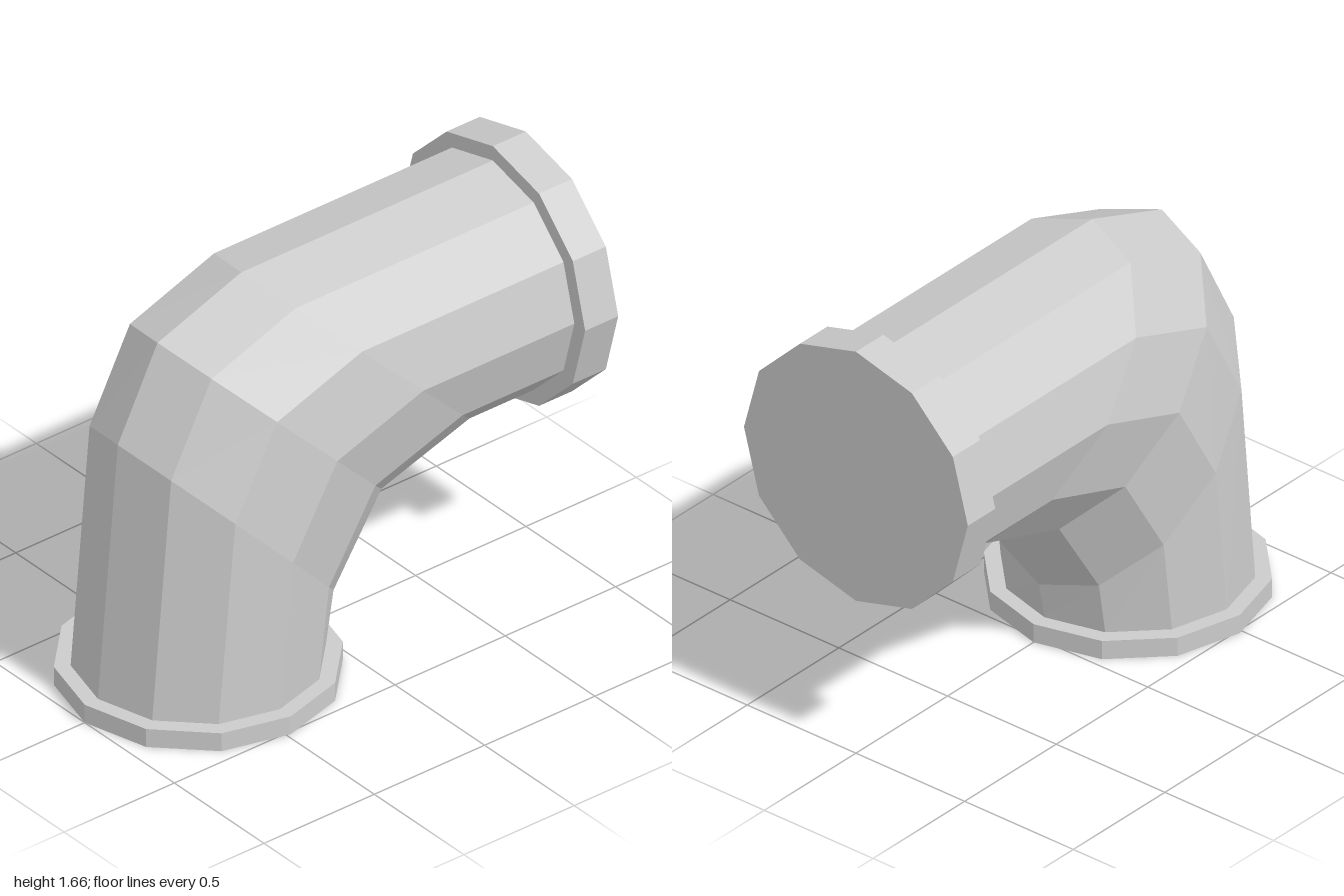
import * as THREE from 'three';

const SIDES = 12;
const PIPE_RADIUS = 0.455;
const FLANGE_RADIUS = 0.515;

// Cross-sections of the bend: [outer z, outer y, inner z, inner y]
const SECTIONS = [
  [0.94, 0.075, 0.03, 0.075],
  [0.85, 1.105, 0.0, 0.225],
  [0.67, 1.46, -0.22, 0.56],
  [0.29, 1.6, -0.62, 0.69],
  [-0.85, 1.6, -0.85, 0.69],
];

// Point i on a section ring, starting at the outside of the bend
function ringPoint([oz, oy, iz, iy], i) {
  const a = (i / SIDES) * Math.PI * 2;
  const t = (1 + Math.cos(a)) / 2;
  return [PIPE_RADIUS * Math.sin(a), iy + (oy - iy) * t, iz + (oz - iz) * t];
}

// Faceted skin joining neighbouring rings
function bentPipeGeometry() {
  const positions = [];
  for (let j = 0; j < SECTIONS.length - 1; j++) {
    for (let i = 0; i < SIDES; i++) {
      const a = ringPoint(SECTIONS[j], i);
      const b = ringPoint(SECTIONS[j], i + 1);
      const c = ringPoint(SECTIONS[j + 1], i + 1);
      const d = ringPoint(SECTIONS[j + 1], i);
      positions.push(...a, ...b, ...c, ...a, ...c, ...d);
    }
  }
  const geometry = new THREE.BufferGeometry();
  geometry.setAttribute('position', new THREE.Float32BufferAttribute(positions, 3));
  geometry.computeVertexNormals();
  return geometry;
}

export function createModel() {
  const group = new THREE.Group();
  group.name = 'pipeElbow';
  const material = new THREE.MeshStandardMaterial({ color: 0xcccccc, flatShading: true });

  const add = (name, geometry) => {
    const mesh = new THREE.Mesh(geometry, material);
    mesh.name = name;
    group.add(mesh);
    return mesh;
  };
  const flange = (thickness) =>
    new THREE.CylinderGeometry(FLANGE_RADIUS, FLANGE_RADIUS, thickness, SIDES);

  add('bentPipe', bentPipeGeometry());

  // Closed collars at both ends
  add('bottomFlange', flange(0.075)).position.set(0, 0.0375, 0.485);
  const back = add('backFlange', flange(0.15));
  back.rotation.x = Math.PI / 2;
  back.position.set(0, 1.145, -0.925);

  return group;
}
